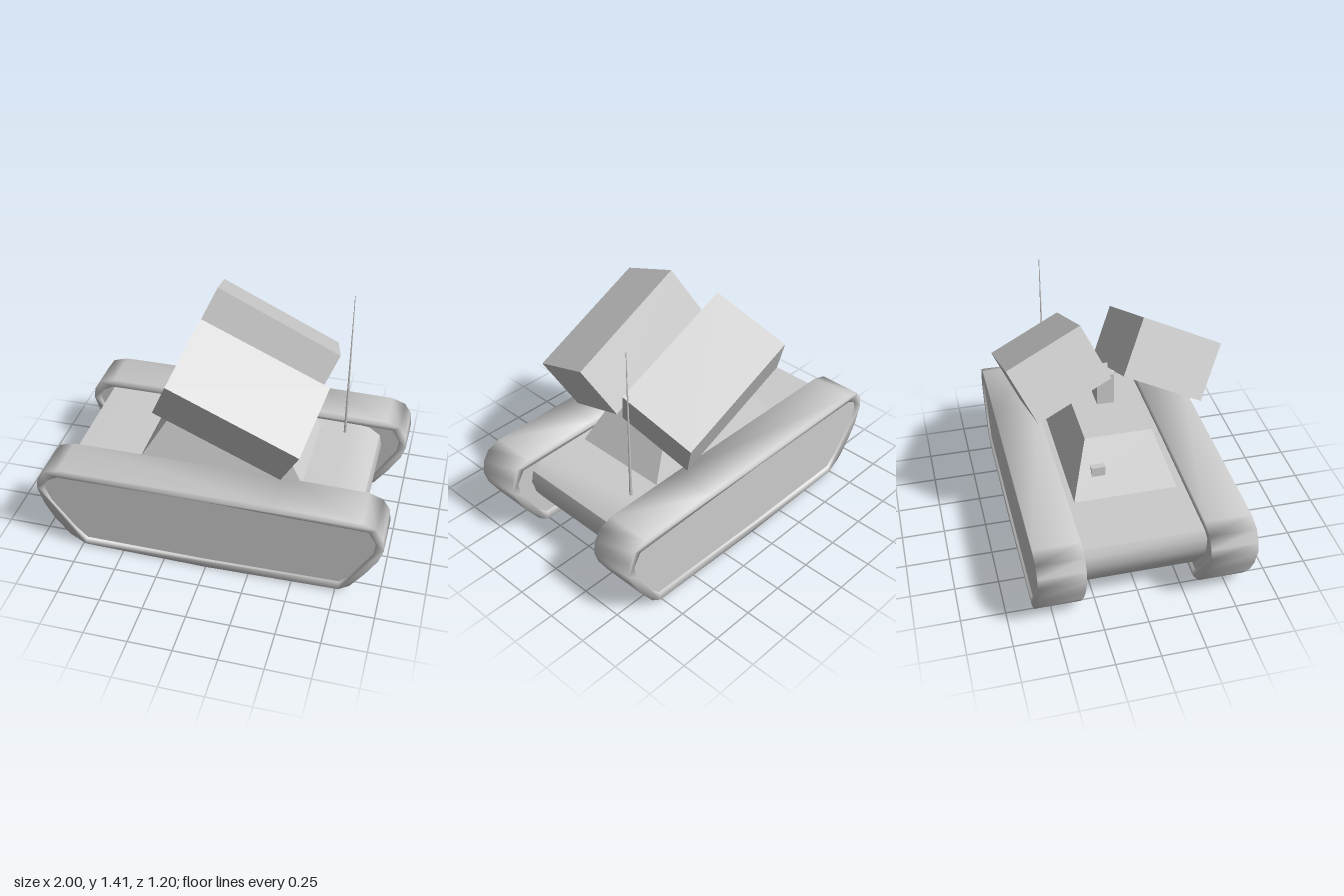
import * as THREE from 'three';
import { toCreasedNormals } from 'three/addons/utils/BufferGeometryUtils.js';

const material = new THREE.MeshStandardMaterial({ color: 0xcccccc });

function part(name, geometry, parent) {
  const mesh = new THREE.Mesh(geometry, material);
  mesh.name = name;
  parent.add(mesh);
  return mesh;
}

const toShape = (points) => new THREE.Shape(points.map(([x, y]) => new THREE.Vector2(x, y)));

// Side profile extruded along z between z0 and z1
function slab(shape, z0, z1, crease) {
  const geometry = new THREE.ExtrudeGeometry(shape, { depth: z1 - z0, bevelEnabled: false });
  geometry.translate(0, 0, z0);
  return toCreasedNormals(geometry, crease);
}

// Box with different bottom and top rectangles: [x min, x max, half depth]
function frustum(bottom, top, y0, y1) {
  const geometry = new THREE.BoxGeometry(1, 1, 1).toNonIndexed();
  const p = geometry.attributes.position;
  for (let i = 0; i < p.count; i++) {
    const isTop = p.getY(i) > 0;
    const [x0, x1, z] = isTop ? top : bottom;
    p.setXYZ(i, p.getX(i) > 0 ? x1 : x0, isTop ? y1 : y0, p.getZ(i) > 0 ? z : -z);
  }
  geometry.computeVertexNormals();
  return geometry;
}

const trackOutline = [
  [-0.73, 0.015], [0, 0.004], [0.77, 0.02], [0.83, 0.06], [0.91, 0.17], [0.975, 0.28],
  [1, 0.36], [0.99, 0.44], [0.95, 0.5], [0.87, 0.53], [0.4, 0.537], [-0.86, 0.538],
  [-0.95, 0.51], [-0.99, 0.45], [-1, 0.39], [-0.965, 0.28], [-0.91, 0.18], [-0.82, 0.07],
];
const trackInside = [
  [-0.72, 0.06], [0, 0.056], [0.77, 0.07], [0.82, 0.12], [0.945, 0.32],
  [0.955, 0.4], [0.91, 0.475], [0, 0.492], [-0.87, 0.487], [-0.94, 0.445],
  [-0.955, 0.38], [-0.92, 0.3], [-0.79, 0.13],
];
const hullOutline = [
  [-0.72, 0.12], [0.68, 0.12], [0.78, 0.19], [0.825, 0.26], [0.85, 0.35],
  [0.835, 0.42], [0.77, 0.465], [0.66, 0.48], [-0.86, 0.48], [-0.88, 0.43],
  [-0.875, 0.36], [-0.85, 0.29],
];

export function createModel() {
  const model = new THREE.Group();
  model.name = 'launcherVehicle';

  // Hull between the tracks
  part('hull', slab(toShape(hullOutline), -0.35, 0.35, 0.75), model);

  // Tracks: a softly shaded rim around a slightly recessed side panel
  const rimShape = toShape(trackOutline);
  rimShape.holes.push(toShape(trackInside));
  for (const [name, z0, z1] of [['rearTrack', -0.602, -0.342], ['frontTrack', 0.336, 0.598]]) {
    const track = new THREE.Group();
    track.name = name;
    part('trackRim', slab(rimShape, z0, z1, 1.6), track);
    part('trackPanel', slab(toShape(trackInside), z0 + 0.012, z1 - 0.012, 0.8), track);
    model.add(track);
  }

  // Turret, its rear hatch block and the launcher post
  part('turret', frustum([-0.477, 0.487, 0.297], [-0.292, 0.29, 0.192], 0.475, 0.772), model);
  part('turretBlock', new THREE.BoxGeometry(0.07, 0.075, 0.08), model).position.set(-0.372, 0.607, -0.14);
  part('launcherPost', new THREE.BoxGeometry(0.13, 0.21, 0.1), model).position.set(0.075, 0.86, 0);

  // Pair of tilted launcher boxes, mirrored across z
  for (const [name, s, z] of [['frontLauncher', 1, 0.314], ['rearLauncher', -1, -0.306]]) {
    const matrix = new THREE.Matrix4().makeBasis(
      new THREE.Vector3(0.717, -0.33, -0.012 * s),
      new THREE.Vector3(0.125, 0.278, 0.141 * s),
      new THREE.Vector3(-0.075, -0.18, 0.422 * s).multiplyScalar(s),
    );
    matrix.setPosition(0.132, 1.006, z);
    part(name, new THREE.BoxGeometry(1, 1, 1).applyMatrix4(matrix), model);
  }

  // Antenna
  part('antenna', new THREE.CylinderGeometry(0.002, 0.009, 0.945, 6), model).position.set(0.636, 0.9425, -0.249);

  return model;
}
